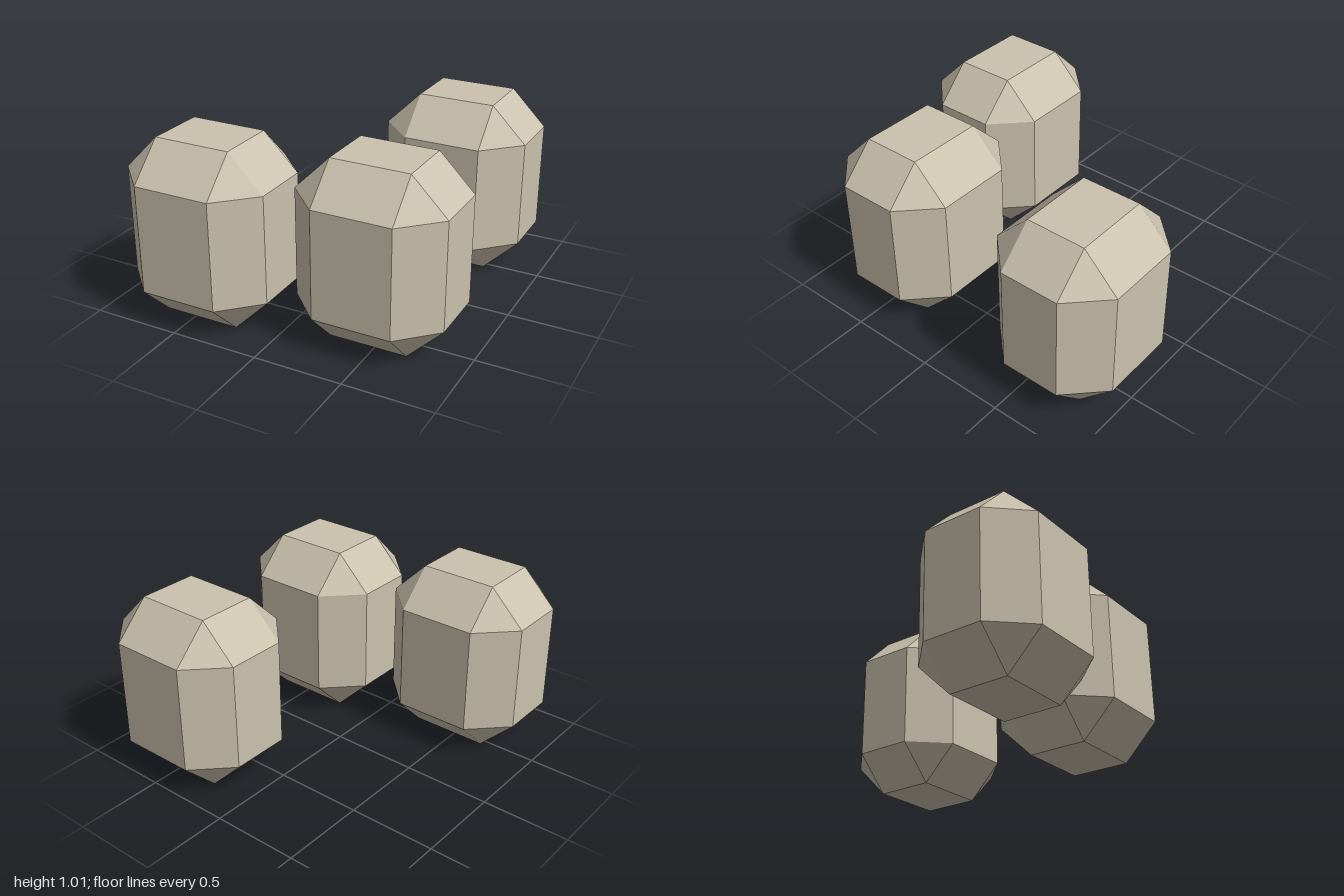
import * as THREE from 'three';
import { ConvexGeometry } from 'three/addons/geometries/ConvexGeometry.js';

// Box with every edge bevelled and every corner cut to a triangle
function bevelledBlock(width, height, depth, bevel) {
  const half = new THREE.Vector3(width / 2, height / 2, depth / 2);
  const points = [];
  for (const sx of [-1, 1]) for (const sy of [-1, 1]) for (const sz of [-1, 1]) {
    for (const axis of ['x', 'y', 'z']) {
      // Inset corner, pushed back out to the face on one axis
      const p = half.clone().subScalar(bevel);
      p[axis] = half[axis];
      points.push(p.multiply(new THREE.Vector3(sx, sy, sz)));
    }
  }
  return new ConvexGeometry(points);
}

export function createModel() {
  const model = new THREE.Group();
  model.name = 'bevelledBlocks';

  const height = 1.01;
  const geometry = bevelledBlock(0.84, height, 0.74, 0.2);
  const material = new THREE.MeshStandardMaterial({ color: 0xcbc2ae, flatShading: true });

  // Three identical blocks standing on the ground: name, x, z
  const blocks = [
    ['backLeftBlock', 0.46, -0.63],
    ['frontLeftBlock', 0.46, 0.46],
    ['frontRightBlock', -0.46, 0.63],
  ];
  for (const [name, x, z] of blocks) {
    const block = new THREE.Mesh(geometry, material);
    block.name = name;
    block.position.set(x, height / 2, z);
    model.add(block);
  }
  return model;
}
